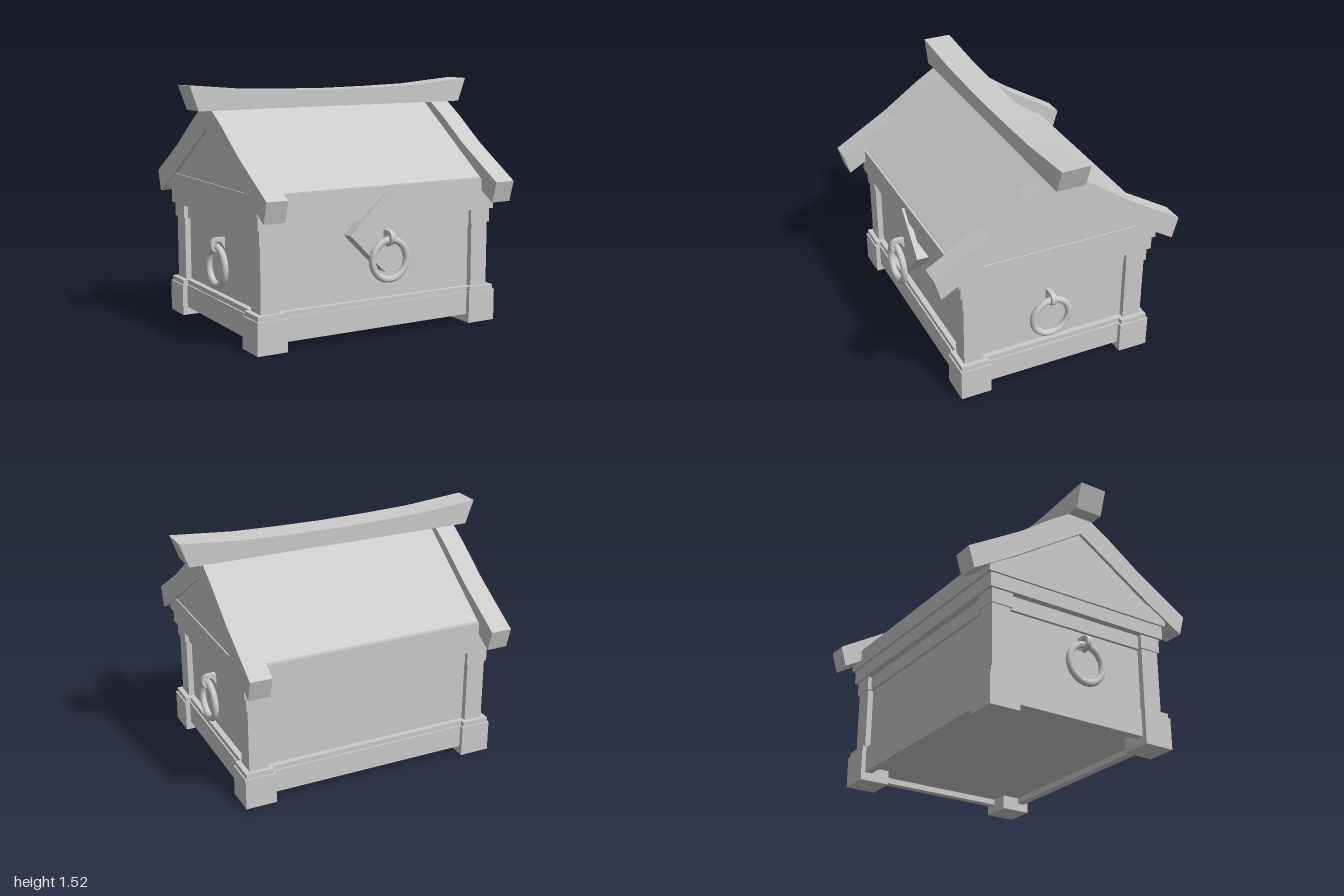
import * as THREE from 'three';

const material = new THREE.MeshStandardMaterial({ color: 0xcccccc, flatShading: true });
const smooth = new THREE.MeshStandardMaterial({ color: 0xcccccc });

export function createModel() {
  const chest = new THREE.Group();
  chest.name = 'chest';

  const add = (name, geometry, parent = chest, mat = material) => {
    const mesh = new THREE.Mesh(geometry, mat);
    mesh.name = name;
    parent.add(mesh);
    return mesh;
  };
  // Box given by its lower and upper limits on each axis
  const box = (name, x0, x1, y0, y1, z0, z1) => {
    const mesh = add(name, new THREE.BoxGeometry(x1 - x0, y1 - y0, z1 - z0));
    mesh.position.set((x0 + x1) / 2, (y0 + y1) / 2, (z0 + z1) / 2);
    return mesh;
  };
  // Layer centred on the vertical axis
  const layer = (name, x, z, y0, y1) => box(name, -x, x, y0, y1, -z, z);
  const toShape = (points) => new THREE.Shape(points.map(([x, y]) => new THREE.Vector2(x, y)));
  // Centred extrusion along z
  const extrude = (shape, depth) =>
    new THREE.ExtrudeGeometry(shape, { depth, bevelEnabled: false, curveSegments: 12 }).translate(0, 0, -depth / 2);
  // Mirrors a half outline (x >= 0, listed from the centre outward)
  const mirrored = (half) => [...half, ...half.filter(([x]) => x > 0).reverse().map(([x, y]) => [-x, y])];

  // Body and corner posts
  layer('body', 0.77, 0.57, 0.09, 0.75);
  for (const sx of [-1, 1]) {
    for (const sz of [-1, 1]) {
      const corner = (name, xi, xo, zi, zo, y0, y1) =>
        box(name, Math.min(sx * xi, sx * xo), Math.max(sx * xi, sx * xo), y0, y1,
          Math.min(sz * zi, sz * zo), Math.max(sz * zi, sz * zo));
      corner('foot', 0.65, 0.847, 0.447, 0.644, 0, 0.2);
      corner('footCap', 0.66, 0.838, 0.457, 0.635, 0.2, 0.231);
      corner('post', 0.685, 0.807, 0.482, 0.607, 0.231, 0.637);
      corner('postCapital', 0.675, 0.817, 0.473, 0.616, 0.637, 0.727);
    }
  }

  // Base rails with a small ledge, and upper rails
  for (const s of [-1, 1]) {
    const rail = (name, x, z, thick, y0, y1) => {
      const long = box(name, -x, x, y0, y1, -thick / 2, thick / 2);
      long.position.z = s * (z - thick / 2);
      const short = box(name, -thick / 2, thick / 2, y0, y1, -z + thick, z - thick);
      short.position.x = s * (x - thick / 2);
    };
    rail('baseRail', 0.815, 0.615, 0.05, 0.053, 0.2);
    rail('baseLedge', 0.805, 0.605, 0.05, 0.2, 0.231);
    rail('upperRail', 0.79, 0.59, 0.04, 0.637, 0.727);
  }

  // Stepped cornice under the roof
  layer('lowerCornice', 0.834, 0.634, 0.727, 0.815);
  layer('upperCornice', 0.848, 0.651, 0.815, 0.928);

  // Roof: profiles lie in the z-y plane and run along x
  const roof = add('roof', extrude(toShape([
    [0.635, 0.9], [0.635, 0.932], [0, 1.378], [-0.635, 0.932], [-0.635, 0.9],
  ]), 1.47));
  roof.rotation.y = Math.PI / 2;
  const gable = add('gableWall', extrude(toShape([[0.54, 0.92], [0, 1.28], [-0.54, 0.92]]), 1.68));
  gable.rotation.y = Math.PI / 2;

  // Slightly curved boards along the gable edges
  const top = [[0, 1.425], [0.09, 1.37], [0.22, 1.289], [0.45, 1.127], [0.8, 0.918]];
  const under = [[0.762, 0.787], [0.52, 0.929], [0.317, 1.059]];
  const flip = ([z, y]) => [-z, y];
  const outline = [...top, ...under, [0, 1.262], ...under.map(flip).reverse(), ...top.slice(1).map(flip).reverse()];
  for (const s of [-1, 1]) {
    const board = add('bargeboard', extrude(toShape(outline), 0.135));
    board.rotation.y = Math.PI / 2;
    board.position.x = s * 0.7925;
  }

  // Ridge beam with upswept ends
  add('ridgeBeam', extrude(toShape(mirrored([
    [0, 1.476], [0.3, 1.48], [0.6, 1.489], [1, 1.523], [0.945, 1.372],
  ])), 0.182));

  // Diamond plate on the front
  const plate = add('diamondPlate', new THREE.BoxGeometry(0.339, 0.339, 0.117));
  plate.rotation.z = Math.PI / 4;
  plate.position.set(0, 0.648, 0.609);

  // Ring handle: ring in the x-y plane, flared hook reaching back to the mount
  const handle = (name, x, y, z, turn) => {
    const group = new THREE.Group();
    group.name = name;
    add('ring', new THREE.TorusGeometry(0.12, 0.021, 12, 40), group, smooth);
    const hook = new THREE.Shape();
    hook.moveTo(-0.06, 0.178);
    hook.lineTo(0, 0.178);
    hook.absarc(0, 0.134, 0.044, Math.PI / 2, -Math.PI / 2, true);
    hook.lineTo(-0.015, 0.078);
    hook.lineTo(-0.015, 0.098);
    hook.lineTo(0, 0.112);
    hook.absarc(0, 0.134, 0.022, -Math.PI / 2, Math.PI / 2, false);
    hook.lineTo(-0.022, 0.152);
    hook.lineTo(-0.06, 0.085);
    const mesh = add('hook', extrude(hook, 0.03), group);
    mesh.rotation.y = -Math.PI / 2;
    group.position.set(x, y, z);
    group.rotation.y = turn;
    chest.add(group);
  };
  handle('frontHandle', 0, 0.494, 0.715, 0);
  handle('leftHandle', 0.82, 0.415, 0.037, Math.PI / 2);
  handle('rightHandle', -0.82, 0.415, 0.037, -Math.PI / 2);

  return chest;
}
